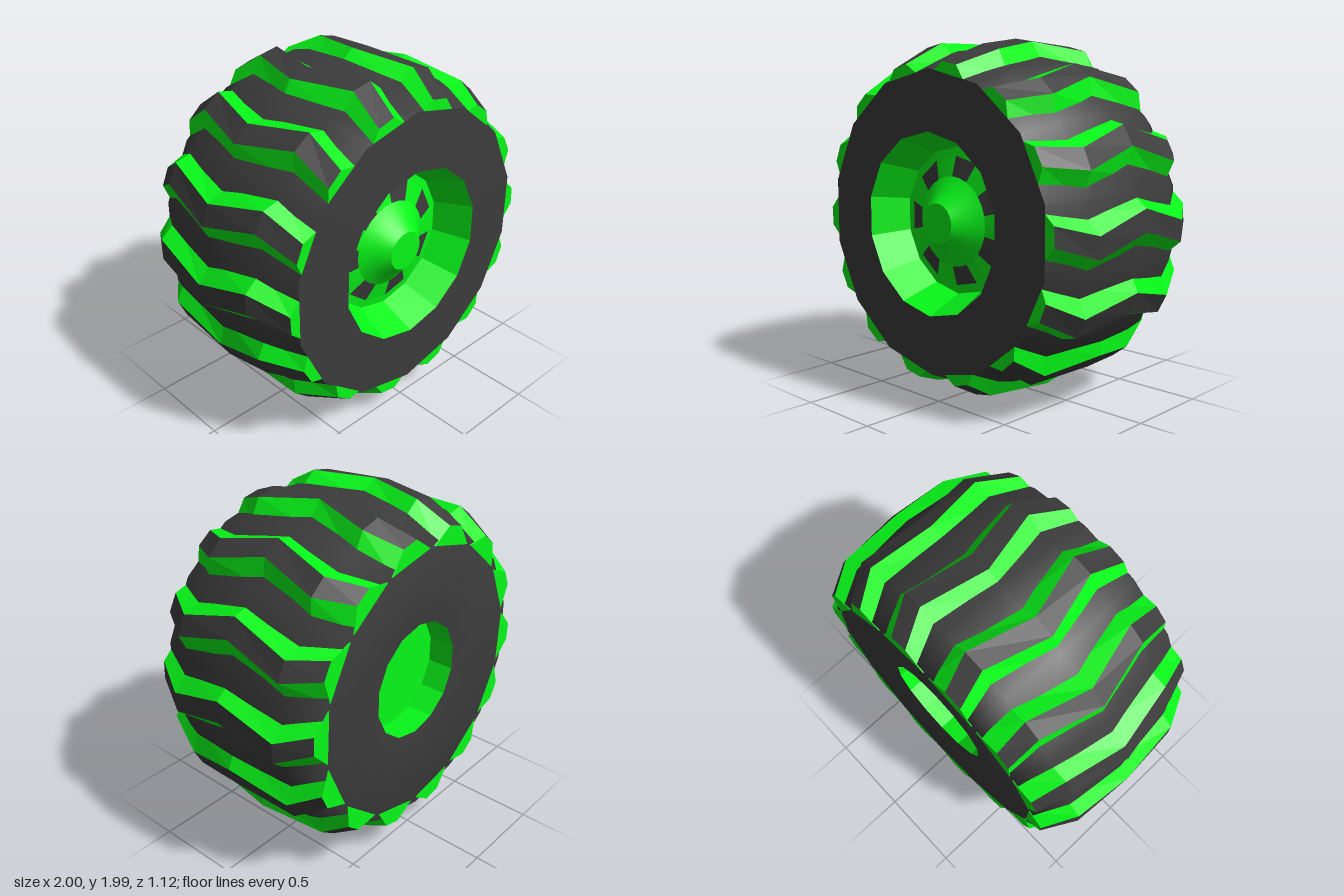
import * as THREE from 'three';

const SIDES = 14;
const STEP = (Math.PI * 2) / SIDES;
const rad = THREE.MathUtils.degToRad;

const material = (color, flatShading = false) =>
  new THREE.MeshStandardMaterial({ color, flatShading });
const rubber = material(0x3c3c3c);
const rubberFlat = material(0x3c3c3c, true);
const green = material(0x06f818);
const greenFlat = material(0x06f818, true);

// Revolves [radius, z] points about the z axis.
function lathe(name, points, mat, sides = SIDES, start = 0, length = Math.PI * 2) {
  const profile = points.map(([r, z]) => new THREE.Vector2(r, z));
  const geometry = new THREE.LatheGeometry(profile, sides, start, length);
  geometry.rotateX(Math.PI / 2);
  const mesh = new THREE.Mesh(geometry, mat);
  mesh.name = name;
  return mesh;
}

function quadMesh(name, quads, mat) {
  const corners = quads.flatMap(([a, b, c, d]) => [a, b, c, a, c, d]);
  const geometry = new THREE.BufferGeometry().setFromPoints(corners);
  geometry.computeVertexNormals();
  const mesh = new THREE.Mesh(geometry, mat);
  mesh.name = name;
  return mesh;
}

// Stations along one chevron bar: z, centre angle, top radius, base radius, base half width.
const STATIONS = [
  [-0.56, 2.5, 0.87, 0.78, 11.5],
  [-0.38, -1.8, 0.975, 0.87, 10.8],
  [-0.02, 3.9, 1.0, 0.9, 10.8],
  [0.335, -1.8, 0.975, 0.87, 10.8],
  [0.55, 2.5, 0.87, 0.78, 11.5],
];

function createTreadBar() {
  const point = (r, degrees, z) =>
    new THREE.Vector3(r * Math.cos(rad(degrees)), r * Math.sin(rad(degrees)), z);
  const sections = STATIONS.map(([z, angle, top, base, half]) => [
    point(base, angle - half, z),
    point(top, angle - 3.5, z),
    point(top, angle + 3.5, z),
    point(base, angle + half, z),
  ]);
  const tops = [];
  const flanks = [[...sections[0]].reverse(), sections[sections.length - 1]];
  for (let i = 0; i < sections.length - 1; i++) {
    const a = sections[i];
    const b = sections[i + 1];
    for (let k = 0; k < 3; k++) {
      (k === 1 ? tops : flanks).push([a[k], a[k + 1], b[k + 1], b[k]]);
    }
  }
  const bar = new THREE.Group();
  bar.name = 'treadBar';
  bar.add(quadMesh('barTop', tops, rubberFlat), quadMesh('barFlanks', flanks, greenFlat));
  return bar;
}

export function createModel() {
  const model = new THREE.Group();
  model.name = 'wheel';
  const wheel = new THREE.Group();
  wheel.name = 'tyreAndRim';
  wheel.position.y = 1;
  model.add(wheel);

  // Tyre: rear sidewall and tread base, then the flat front sidewall
  wheel.add(lathe('tyreBody', [
    [0.34, -0.525], [0.82, -0.557], [0.92, -0.38], [0.955, -0.02], [0.92, 0.335], [0.83, 0.55],
  ], rubber));
  wheel.add(lathe('frontSidewall', [[0.83, 0.55], [0.5, 0.56]], rubberFlat));

  // Chevron bars around the tread
  const bar = createTreadBar();
  for (let i = 0; i < SIDES; i++) {
    const copy = bar.clone();
    copy.rotation.z = i * STEP;
    wheel.add(copy);
  }

  // Front rim: recess wall, outer ring, hub cone and hub cap
  wheel.add(lathe('rimWall', [[0.5, 0.56], [0.41, 0.345]], greenFlat));
  wheel.add(lathe('rimRing', [[0.41, 0.345], [0.36, 0.355]], green));
  wheel.add(lathe('hubCone', [[0.25, 0.385], [0.18, 0.43], [0.112, 0.5]], green, 28));
  wheel.add(lathe('hubCap', [[0.112, 0.5], [0, 0.5]], greenFlat, 28));

  // Alternating dark windows and green spokes
  for (let i = 0; i < SIDES; i++) {
    const isWindow = i % 2 === 0;
    wheel.add(lathe(isWindow ? 'rimWindow' : 'rimSpoke', [[0.36, 0.355], [0.25, 0.385]],
      isWindow ? rubber : green, 1, i * STEP, STEP));
  }

  // Rear rim: recessed disc and its wall
  wheel.add(lathe('rearRim', [[0, -0.37], [0.34, -0.37], [0.34, -0.525]], greenFlat));

  return model;
}
